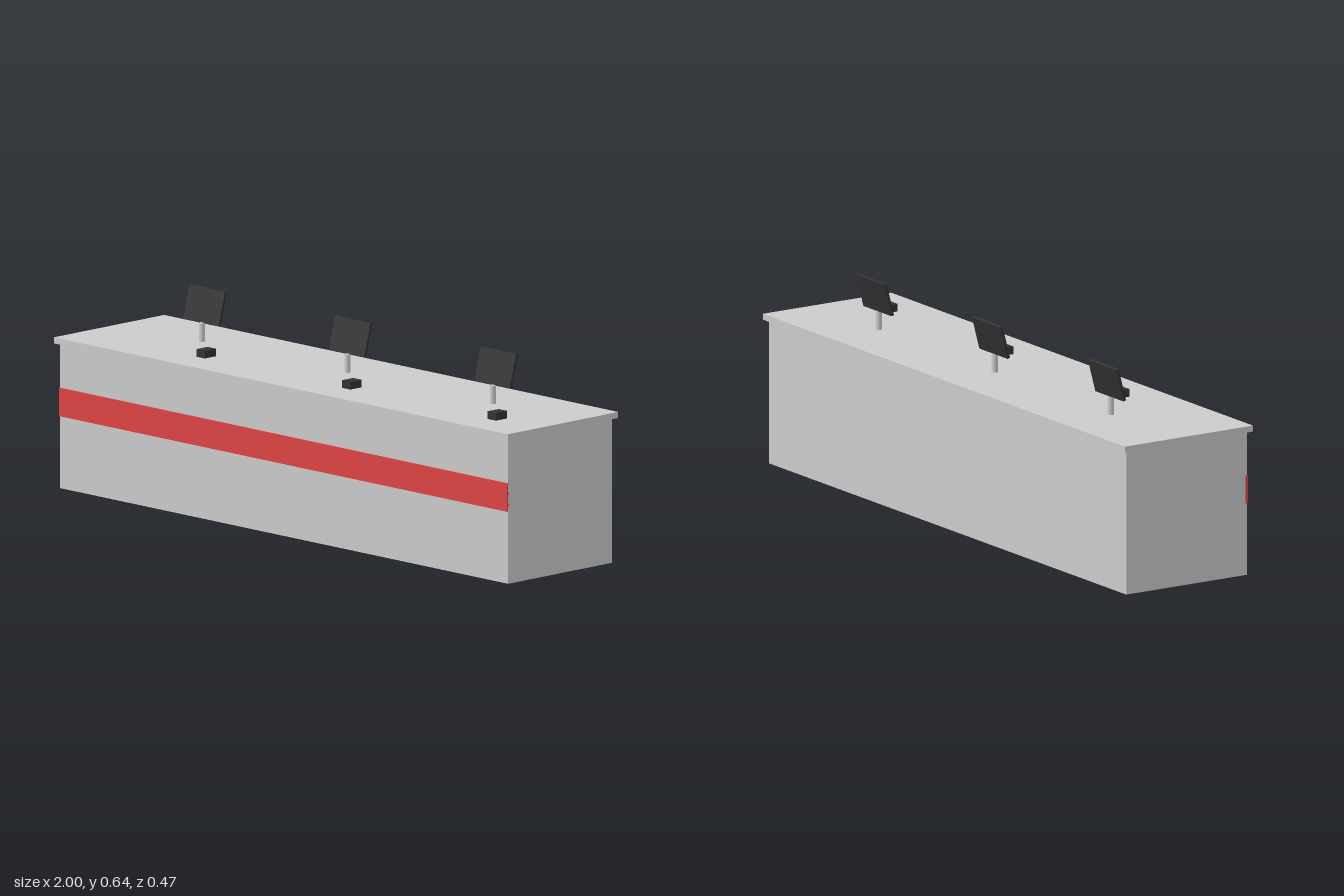
import * as THREE from 'three';

export function createModel() {
  const model = new THREE.Group();
  model.name = 'serviceCounter';
  const grey = new THREE.MeshStandardMaterial({ color: 0xcccccc });
  const red = new THREE.MeshStandardMaterial({ color: 0xe04444 });
  const dark = new THREE.MeshStandardMaterial({ color: 0x333333 });

  const add = (parent, name, geometry, material, x, y, z) => {
    const mesh = new THREE.Mesh(geometry, material);
    mesh.name = name;
    mesh.position.set(x, y, z);
    parent.add(mesh);
    return mesh;
  };
  const box = (w, h, d) => new THREE.BoxGeometry(w, h, d);

  // Counter: body, overhanging top and front stripe
  const topY = 0.474;
  add(model, 'counterBody', box(1.974, 0.455, 0.446), grey, 0, 0.2275, 0);
  add(model, 'counterTop', box(2, 0.019, 0.474), grey, 0, topY - 0.0095, 0);
  add(model, 'frontStripe', box(1.974, 0.089, 0.0095), red, 0, 0.2715, 0.223);

  // Three workstations: post, tilted screen and small device beside it
  const postGeometry = new THREE.CylinderGeometry(0.0095, 0.0095, 0.058, 16);
  const screenGeometry = box(0.156, 0.107, 0.0095);
  const deviceGeometry = box(0.037, 0.024, 0.048);
  for (const x of [-0.641, 0, 0.641]) {
    const station = new THREE.Group();
    station.name = 'workstation';
    station.position.set(x, topY, 0);
    model.add(station);
    add(station, 'screenPost', postGeometry, grey, 0, 0.029, -0.049);
    const screen = add(station, 'screen', screenGeometry, dark, 0, 0.111, -0.063);
    screen.rotation.x = -0.26;
    add(station, 'cardReader', deviceGeometry, dark, 0.171, 0.012, 0.099);
  }

  return model;
}
